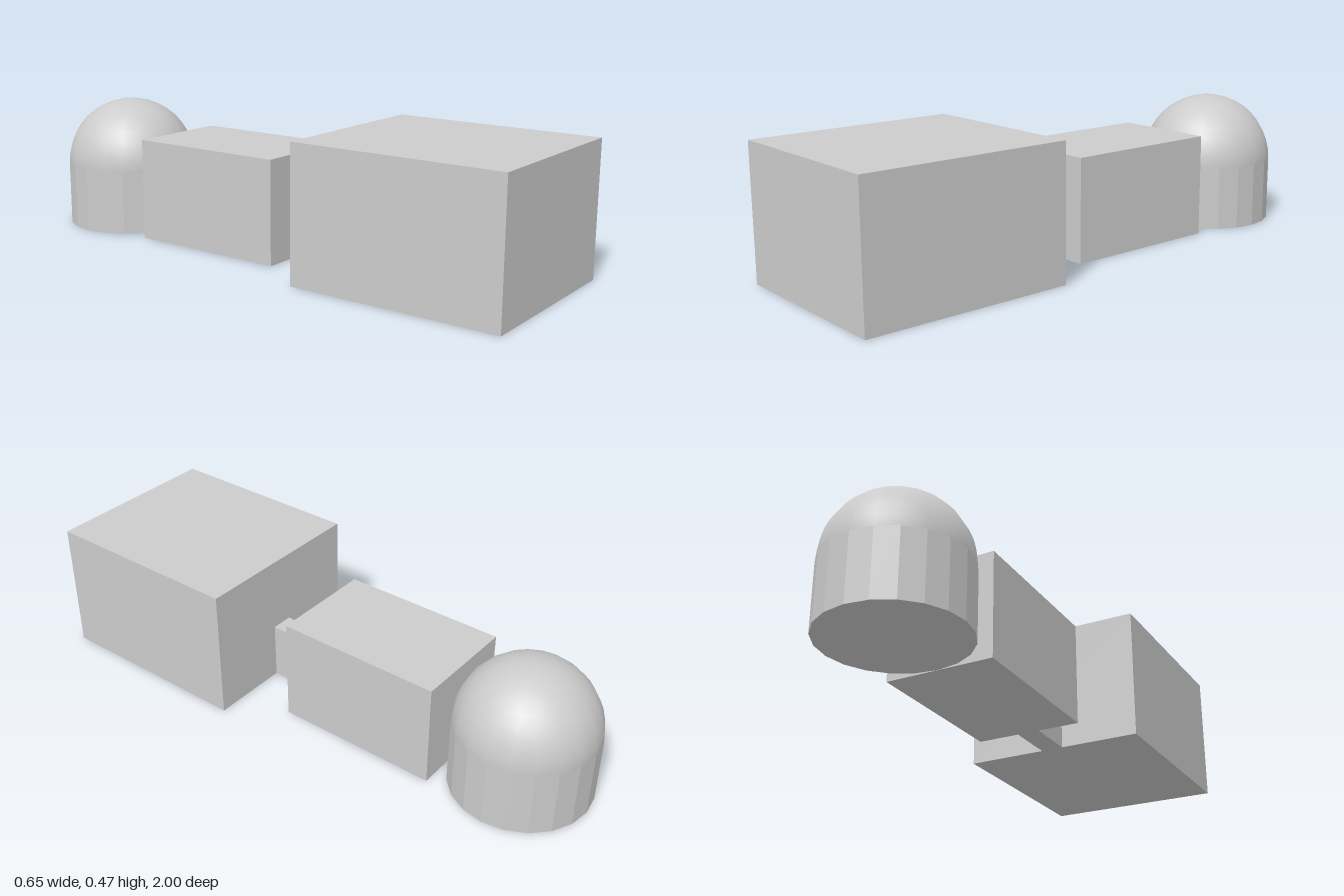
import * as THREE from 'three';

export function createModel() {
  const model = new THREE.Group();
  const material = new THREE.MeshStandardMaterial({ color: 0xcccccc });

  const add = (name, geometry, y, z, mat = material) => {
    const mesh = new THREE.Mesh(geometry, mat);
    mesh.name = name;
    mesh.position.set(0, y, z);
    model.add(mesh);
  };

  // Blocks standing on the ground, from z0 (back) to z1 (front)
  const block = (name, width, height, z0, z1) =>
    add(name, new THREE.BoxGeometry(width, height, z1 - z0), height / 2, (z0 + z1) / 2);

  block('frontBlock', 0.652, 0.47, 0.26, 1);
  block('connectingWall', 0.08, 0.205, 0.075, 0.26);
  block('middleBlock', 0.38, 0.367, -0.515, 0.075);

  // Round tower: drum with a hemispherical dome
  const radius = 0.242, drumHeight = 0.233, sides = 20, z = -0.758;
  const flat = material.clone();
  flat.flatShading = true;
  add('towerDrum', new THREE.CylinderGeometry(radius, radius, drumHeight, sides), drumHeight / 2, z, flat);
  add('towerDome', new THREE.SphereGeometry(radius, sides, 10, Math.PI / 2, Math.PI * 2, 0, Math.PI / 2), drumHeight, z);

  return model;
}
